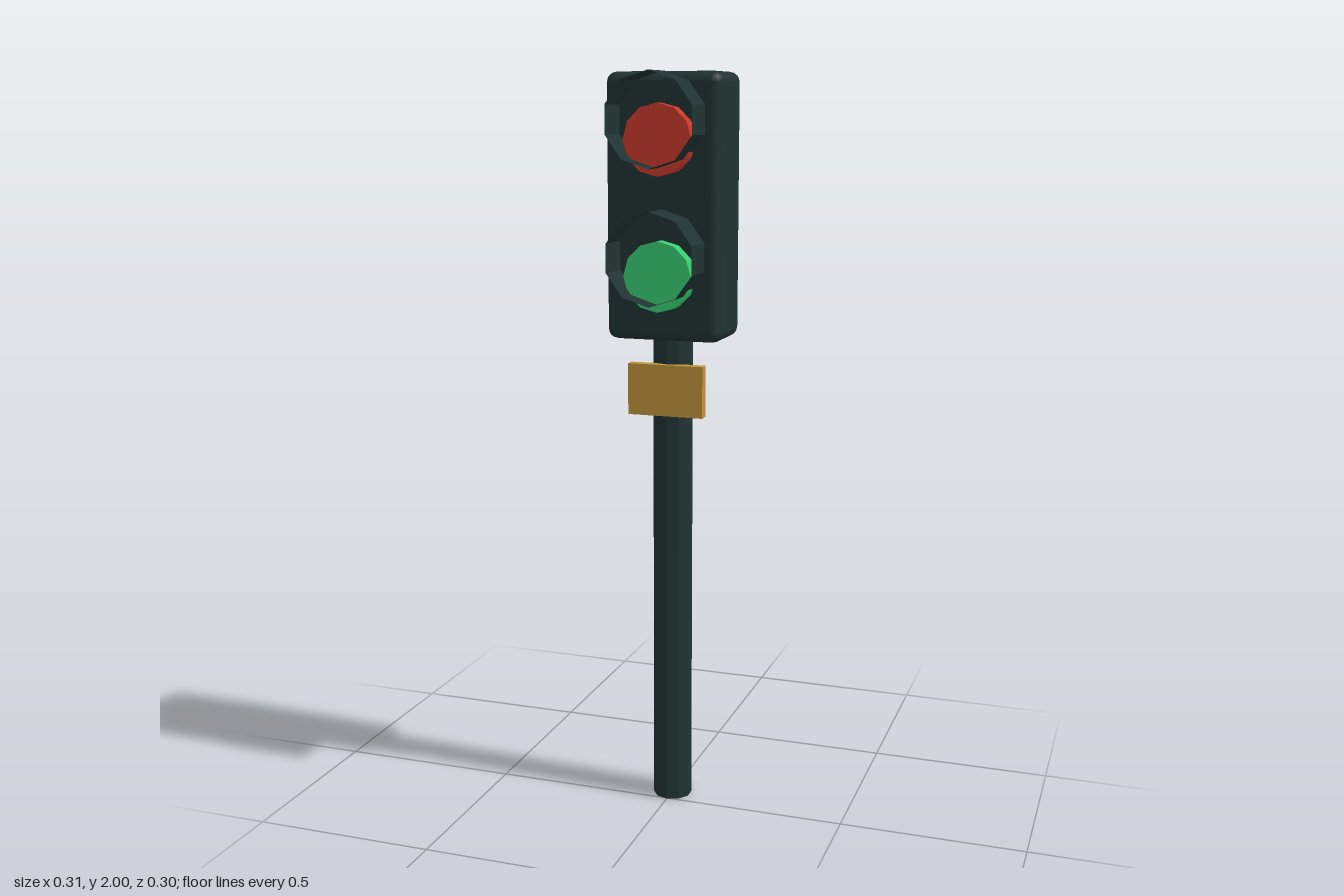
import * as THREE from 'three';
import { RoundedBoxGeometry } from 'three/addons/geometries/RoundedBoxGeometry.js';

export function createModel() {
  const group = new THREE.Group();
  const mat = (name, color, extra = {}) =>
    Object.assign(new THREE.MeshStandardMaterial({ color, ...extra }), { name });
  const paint = mat('dark green paint', 0x203332, { flatShading: true });
  const housingPaint = paint.clone();
  housingPaint.flatShading = false;
  const visorPaint = paint.clone();
  visorPaint.side = THREE.DoubleSide;
  const red = mat('red lens', 0xc8392b);
  const green = mat('green lens', 0x38cc70);
  const gold = mat('gold plate', 0xbf943d);

  const add = (name, geometry, material, x, y, z) => {
    const mesh = new THREE.Mesh(geometry, material);
    mesh.name = name;
    mesh.position.set(x, y, z);
    group.add(mesh);
  };

  // Post, running up into the housing
  add('post', new THREE.CylinderGeometry(0.053, 0.053, 1.36, 10), paint, 0, 0.68, -0.05);

  // Signal housing with softened edges
  add('housing', new RoundedBoxGeometry(0.314, 0.69, 0.19, 2, 0.027), housingPaint, 0, 1.655, -0.053);

  // Each lamp: a lens disc and an open visor set slightly higher
  for (const [name, y, material] of [['red', 1.83, red], ['green', 1.483, green]]) {
    add(name + 'Lens', new THREE.CylinderGeometry(0.092, 0.092, 0.06, 12).rotateX(Math.PI / 2),
      material, 0, y, 0.052);
    add(name + 'Visor', new THREE.CylinderGeometry(0.121, 0.121, 0.128, 10, 1, true).rotateX(Math.PI / 2),
      visorPaint, 0, y + 0.05, 0.084);
  }

  // Small plate on the post
  add('plate', new THREE.BoxGeometry(0.208, 0.138, 0.028), gold, 0, 1.175, 0.004);

  return group;
}
